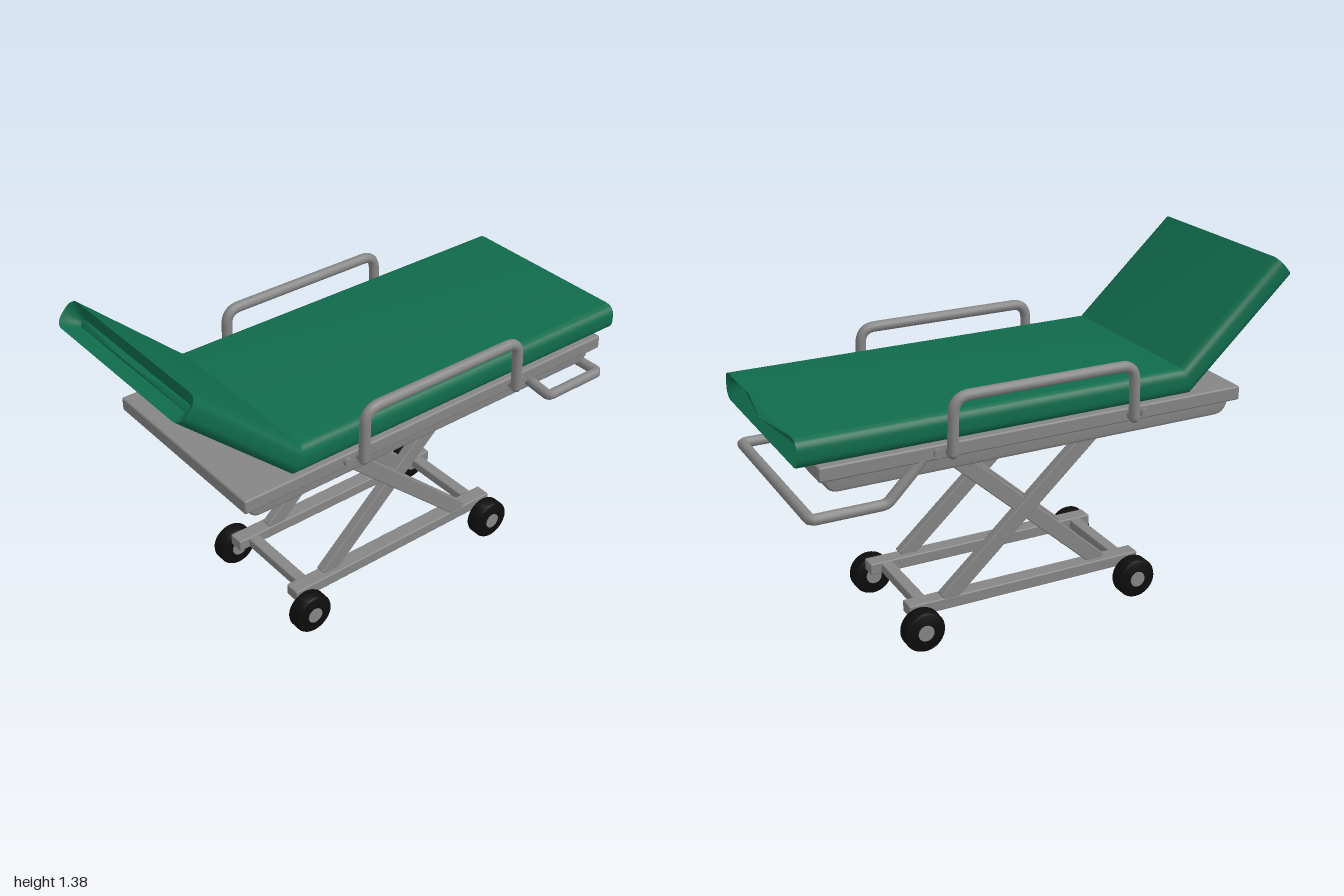
import * as THREE from 'three';
import { toCreasedNormals } from 'three/addons/utils/BufferGeometryUtils.js';
import { RoundedBoxGeometry } from 'three/addons/geometries/RoundedBoxGeometry.js';

const material = (name, color) => {
  const m = new THREE.MeshStandardMaterial({ color });
  m.name = name;
  return m;
};

// Padded slab lofted along a path that bends once, with rounded ends
function mattressGeometry() {
  const W = 0.4, H = 0.054, R = 0.04, N = 6;
  const tilt = THREE.MathUtils.degToRad(42.7);
  const bend = new THREE.Vector2(-0.56, 0.945);
  const back = new THREE.Vector2(-Math.cos(tilt), Math.sin(tilt));
  const backN = new THREE.Vector2(Math.sin(tilt), Math.cos(tilt));
  const flat = new THREE.Vector2(1, 0), flatN = new THREE.Vector2(0, 1);
  const mitreN = new THREE.Vector2(Math.sin(tilt / 2), Math.cos(tilt / 2)).divideScalar(Math.cos(tilt / 2));
  const stations = [];
  const end = (dir, normal, length) => {
    const list = [{ c: bend.clone().addScaledVector(dir, length), n: normal, w: 0, h: 0 }];
    for (let i = 0; i <= N; i++) {
      const a = (i / N) * Math.PI / 2;
      list.push({
        c: bend.clone().addScaledVector(dir, length - 0.05 * (1 - Math.sin(a))),
        n: normal, w: W - 0.055 * (1 - Math.cos(Math.PI / 2 - a)), h: H - R * (1 - Math.cos(Math.PI / 2 - a)),
      });
    }
    return list;
  };
  stations.push(...end(back, backN, 0.582), { c: bend, n: mitreN, w: W, h: H }, ...end(flat, flatN, 1.56).reverse());

  const pos = [], index = [], loop = 4 * (N + 1);
  for (const { c, n, w, h } of stations) {
    const r = Math.min(R, h, w);
    for (let q = 0; q < 4; q++) for (let i = 0; i <= N; i++) {
      const a = (q + i / N) * Math.PI / 2;
      const z = (q === 0 || q === 3 ? 1 : -1) * (w - r) + r * Math.cos(a);
      const t = (q < 2 ? 1 : -1) * (h - r) + r * Math.sin(a);
      pos.push(c.x + n.x * t, c.y + n.y * t, z);
    }
  }
  for (let s = 0; s < stations.length - 1; s++) for (let i = 0; i < loop; i++) {
    const a = s * loop + i, b = s * loop + (i + 1) % loop;
    index.push(a, a + loop, b, b, a + loop, b + loop);
  }
  const g = new THREE.BufferGeometry();
  g.setAttribute('position', new THREE.Float32BufferAttribute(pos, 3));
  g.setIndex(index);
  return toCreasedNormals(g, 0.55);
}

// Tube along a polyline whose inner corners are rounded
function bentTube(points, radius, corner) {
  const p = points.map((a) => new THREE.Vector3(...a));
  const path = new THREE.CurvePath();
  let from = p[0];
  for (let i = 1; i < p.length - 1; i++) {
    const a = p[i].clone().add(p[i - 1].clone().sub(p[i]).setLength(corner));
    const b = p[i].clone().add(p[i + 1].clone().sub(p[i]).setLength(corner));
    path.add(new THREE.LineCurve3(from, a));
    path.add(new THREE.QuadraticBezierCurve3(a, p[i], b));
    from = b;
  }
  path.add(new THREE.LineCurve3(from, p[p.length - 1]));
  return new THREE.TubeGeometry(path, 110, radius, 14);
}

export function createModel() {
  const green = material('green padding', 0x106b4c);
  const grey = material('grey metal', 0x858585);
  const black = material('black rubber', 0x0d0d0d);
  const group = new THREE.Group();
  const add = (name, geometry, mat, x = 0, y = 0, z = 0) => {
    const m = new THREE.Mesh(geometry, mat);
    m.name = name;
    m.position.set(x, y, z);
    group.add(m);
    return m;
  };
  const box = (name, x0, x1, y0, y1, z0, z1, r = 0.006) =>
    add(name, new RoundedBoxGeometry(x1 - x0, y1 - y0, z1 - z0, 2, r), grey, (x0 + x1) / 2, (y0 + y1) / 2, (z0 + z1) / 2);
  const disc = (name, radius, depth, mat, x, y, z) =>
    add(name, new THREE.CylinderGeometry(radius, radius, depth, 24), mat, x, y, z).rotateX(Math.PI / 2);

  add('mattress', mattressGeometry(), green);

  // Deck and the tray under it, rounded along its lower ends
  box('deck', -0.8, 0.93, 0.835, 0.892, -0.405, 0.405, 0.008);
  const tray = new THREE.Shape();
  tray.moveTo(-0.77, 0.84);
  tray.quadraticCurveTo(-0.765, 0.776, -0.71, 0.776);
  tray.lineTo(0.85, 0.776);
  tray.quadraticCurveTo(0.9, 0.776, 0.905, 0.84);
  const trayGeometry = new THREE.ExtrudeGeometry(tray, {
    depth: 0.73, curveSegments: 8, bevelSize: 0.01, bevelOffset: -0.01, bevelThickness: 0.01, bevelSegments: 3,
  });
  add('tray', toCreasedNormals(trayGeometry, 0.6), grey, 0, 0, -0.365);

  // Push handle under the foot end
  add('footHandle', bentTube([
    [0.54, 0.845, 0.387], [0.565, 0.815, 0.387], [0.68, 0.698, 0.387], [0.962, 0.698, 0.387],
    [0.962, 0.698, -0.387], [0.68, 0.698, -0.387], [0.565, 0.815, -0.387], [0.54, 0.845, -0.387],
  ], 0.021, 0.018), grey);

  // Crossbars of the base
  for (const x of [-0.4, 0.47]) box('baseCrossbar', x - 0.025, x + 0.025, 0.126, 0.167, -0.18, 0.18);

  for (const side of [-1, 1]) {
    // Guard rail with its feet and bolts
    const z = side * 0.43;
    add('guardRail', bentTube([[-0.303, 0.86, z], [-0.297, 1.07, z], [0.437, 1.07, z], [0.443, 0.86, z]], 0.021, 0.06), grey);
    for (const x of [-0.303, 0.443]) {
      add('guardRailFoot', new THREE.SphereGeometry(0.021, 14, 10), grey, x, 0.861, z);
      disc('guardRailMount', 0.018, 0.04, grey, x, 0.864, side * 0.41);
    }
    for (const x of [-0.36, 0.49]) disc('deckBolt', 0.017, 0.03, grey, x, 0.863, side * 0.406);

    // Scissor legs, the pair mirrored about the pivot
    [[1, 0.205], [-1, 0.184]].forEach(([dir, legZ]) => {
      const leg = add('scissorLeg', new RoundedBoxGeometry(0.93, 0.064, 0.04, 2, 0.005), grey, 0.04, 0.472, side * legZ);
      leg.rotation.z = -dir * 0.735;
    });
    disc('pivotBolt', 0.019, 0.05, grey, 0.04, 0.48, side * 0.17);

    // Base rail
    box('baseRail', -0.47, 0.54, 0.123, 0.172, side * 0.193 - 0.033, side * 0.193 + 0.033);

    // Wheels with rounded tread and a hub through the middle
    for (const x of [-0.433, 0.503]) {
      const tyre = [[0, -0.034], [0.07, -0.034], [0.079, -0.03], [0.083, -0.022], [0.083, 0.022], [0.079, 0.03], [0.07, 0.034], [0, 0.034]];
      const tyreGeometry = new THREE.LatheGeometry(tyre.map(([r, y]) => new THREE.Vector2(r, y)), 36);
      add('wheel', toCreasedNormals(tyreGeometry, 0.6), black, x, 0.084, side * 0.26).rotateX(Math.PI / 2);
      disc('wheelHub', 0.032, 0.078, grey, x, 0.084, side * 0.259);
    }
  }
  return group;
}
